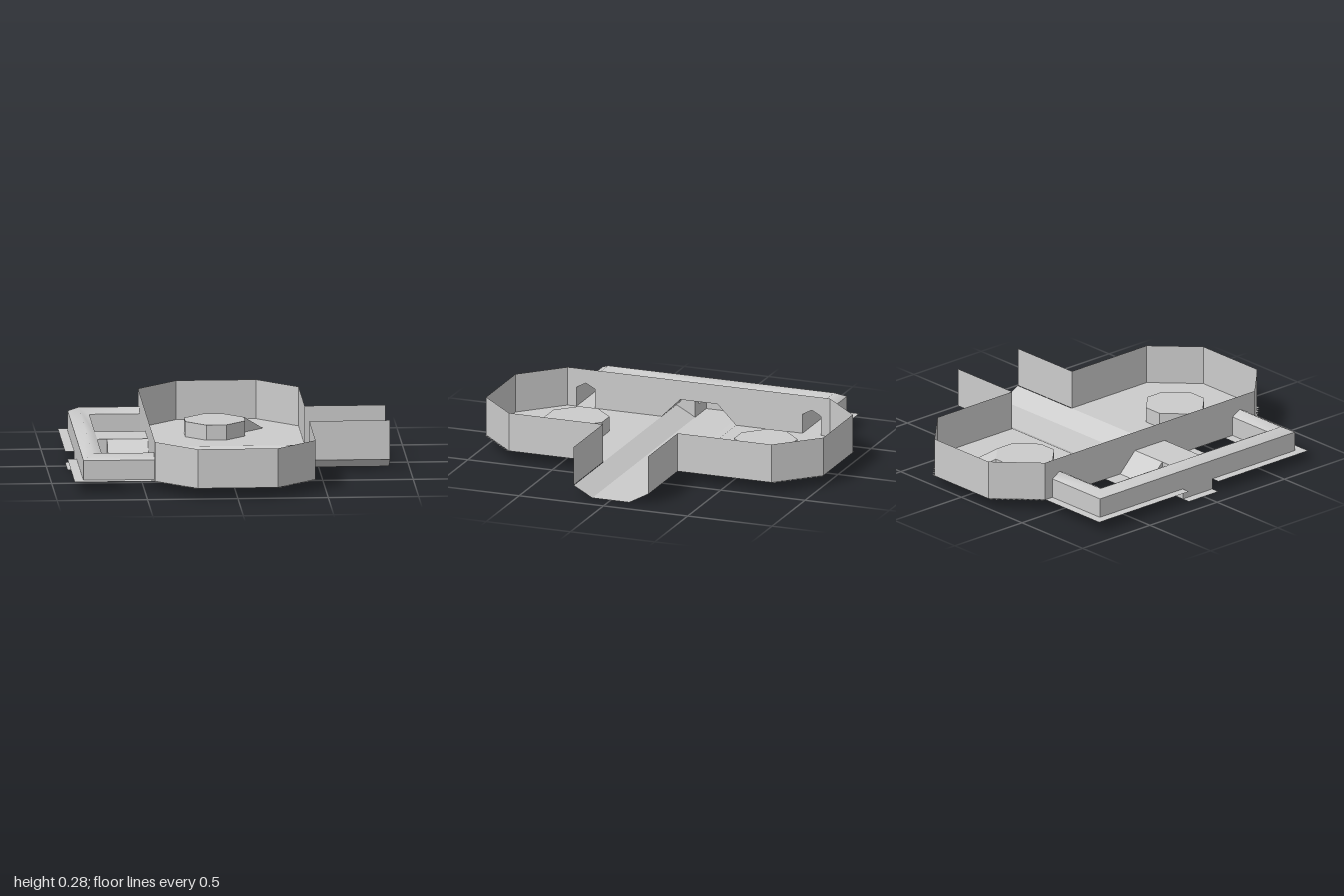
import * as THREE from 'three';
import { toCreasedNormals } from 'three/addons/utils/BufferGeometryUtils.js';

const mat = new THREE.MeshStandardMaterial({ color: 0xcccccc, side: THREE.DoubleSide });
const FLOOR = 0.06, TOP = 0.28, EAVE = 0.17, RIDGE = 0.2;
const WEST = -0.445, EAST = 0.443, END = 0.889;

function mesh(name, geometry) {
  const m = new THREE.Mesh(geometry, mat);
  m.name = name;
  return m;
}

// Ruled surface through two or more polylines of [x, y, z] points
function ruled(lines, crease = 0) {
  const pos = [];
  for (let j = 0; j < lines.length - 1; j++) {
    const a = lines[j], b = lines[j + 1];
    for (let i = 0; i < a.length - 1; i++) {
      pos.push(...a[i], ...a[i + 1], ...b[i + 1], ...a[i], ...b[i + 1], ...b[i]);
    }
  }
  const g = new THREE.BufferGeometry();
  g.setAttribute('position', new THREE.Float32BufferAttribute(pos, 3));
  g.computeVertexNormals();
  return crease ? toCreasedNormals(g, crease) : g;
}

// Upright sheet along [x, z] points
const fence = (pts, y0, y1) =>
  ruled([pts.map(([x, z]) => [x, y0, z]), pts.map(([x, z]) => [x, y1, z])]);

const shapeOf = (pts) => new THREE.Shape(pts.map(([a, b]) => new THREE.Vector2(a, b)));

// Sheet in a plane of constant x, from [z, y] points
function crossSheet(pts, x) {
  const g = new THREE.ShapeGeometry(shapeOf(pts));
  g.rotateY(-Math.PI / 2);
  g.translate(x, 0, 0);
  return g;
}

// Floor of one half, with stair-stepped corners and a square opening
function floorGeometry() {
  const n = 9, s = 0.2 / n;
  const pts = [[-END, 0.11], [-0.67, 0.11], [-0.67, 0.22], [EAST, 0.22]];
  for (let i = 0; i <= n; i++) {
    pts.push([EAST - i * s, 0.8 + i * s]);
    if (i < n) pts.push([EAST - (i + 1) * s, 0.8 + i * s]);
  }
  for (let i = n; i >= 0; i--) {
    pts.push([WEST + i * s, 0.8 + i * s]);
    if (i > 0) pts.push([WEST + i * s, 0.8 + (i - 1) * s]);
  }
  pts.push([WEST, 0.777], [-END, 0.777]);
  const shape = shapeOf(pts);
  shape.holes.push(new THREE.Path([[-0.67, 0.333], [-0.67, 0.558], [-0.447, 0.558], [-0.447, 0.333]]
    .map(([x, z]) => new THREE.Vector2(x, z))));
  const g = new THREE.ShapeGeometry(shape);
  g.rotateX(Math.PI / 2);
  g.translate(0, FLOOR, 0);
  return g;
}

function createHalf() {
  const half = new THREE.Group();
  half.add(mesh('floor', floorGeometry()));

  // Tall walls of the hall and the east passage
  half.add(mesh('hallWall', fence([[END, 0.222], [EAST, 0.222], [EAST, 0.778], [0.222, 1],
    [-0.222, 1], [WEST, 0.778]], FLOOR, TOP)));

  // West wall with a gabled doorway and half of the central opening
  half.add(mesh('westWall', crossSheet([[0, TOP], [0.778, TOP], [0.778, FLOOR], [0.725, FLOOR],
    [0.725, EAVE], [0.67, RIDGE], [0.615, EAVE], [0.615, FLOOR], [0.22, FLOOR], [0.11, EAVE],
    [0, EAVE]], WEST)));

  // Sunken channel: sloped side, then upright side at its west end
  half.add(mesh('channelSlope', ruled([[[-0.67, 0, 0.11], [END, 0, 0.11]],
    [[-0.67, FLOOR, 0.22], [END, FLOOR, 0.22]]])));
  half.add(mesh('channelSide', fence([[-0.84, 0.11], [-0.67, 0.11]], 0, FLOOR)));

  // Sloped side of the tunnel cover and its upright west part
  half.add(mesh('tunnelSlope', ruled([[[-0.67, FLOOR, 0.22], [WEST, FLOOR, 0.22]],
    [[-0.67, EAVE, 0.11], [WEST, EAVE, 0.11]]])));
  half.add(mesh('tunnelSide', fence([[-0.725, 0.11], [-0.67, 0.11]], FLOOR, EAVE)));
  half.add(mesh('tunnelEnd', crossSheet([[0.11, 0], [0.22, FLOOR], [0.11, EAVE]], -0.67)));

  // Low corridor around the west side
  const run = (x, z, y) => [[WEST, y, z], [x, y, z], [x, y, 0]];
  half.add(mesh('corridorRoof', ruled([run(-0.838, 0.725, EAVE), run(-0.782, 0.67, RIDGE),
    run(-0.725, 0.615, EAVE)], 1.1)));
  half.add(mesh('corridorOuterWall', fence([[WEST, 0.725], [-0.838, 0.725], [-0.838, 0]], FLOOR, EAVE)));
  half.add(mesh('corridorWallFoot', fence([[-0.838, 0.11], [-0.838, 0]], 0, FLOOR)));
  half.add(mesh('corridorInnerWall', fence([[WEST, 0.615], [-0.725, 0.615], [-0.725, 0.11]], FLOOR, EAVE)));

  // Eight-sided platform with a diagonal ramp
  const a = 0.166, b = 0.056, h = 0.085;
  const platform = new THREE.Group();
  platform.name = 'platform';
  const ring = [[a, b], [a, -b], [b, -a], [-b, -a], [-a, -b], [-a, b], [-b, a], [b, a]];
  platform.add(mesh('platformSide', fence([...ring, ring[0]], 0, h)));
  const top = new THREE.ShapeGeometry(shapeOf(ring));
  top.rotateX(Math.PI / 2);
  top.translate(0, h, 0);
  platform.add(mesh('platformTop', top));
  const d = 0.111;
  platform.add(mesh('ramp', ruled([[[b, h, a], [a, h, b]], [[b + d, 0, a + d], [a + d, 0, b + d]]])));
  for (const [x, z] of [[b, a], [a, b]]) {
    platform.add(mesh('rampSide', ruled([[[x, h, z], [x + d, 0, z + d]], [[x, 0, z], [x + d, 0, z + d]]])));
  }
  platform.position.set(-0.035, FLOOR, 0.558);
  half.add(platform);
  return half;
}

export function createModel() {
  const model = new THREE.Group();
  model.name = 'hallBlock';
  const front = createHalf();
  front.name = 'frontHalf';
  const back = createHalf();
  back.name = 'backHalf';
  back.scale.z = -1;
  model.add(front, back);

  // Flat middle strips: channel bed and tunnel roof
  const strip = (x0, x1, y) => ruled([[[x0, y, 0.11], [x1, y, 0.11]], [[x0, y, -0.11], [x1, y, -0.11]]]);
  model.add(mesh('channelBed', strip(-END, END, 0)));
  model.add(mesh('tunnelRoof', strip(-0.725, WEST, EAVE)));
  return model;
}
